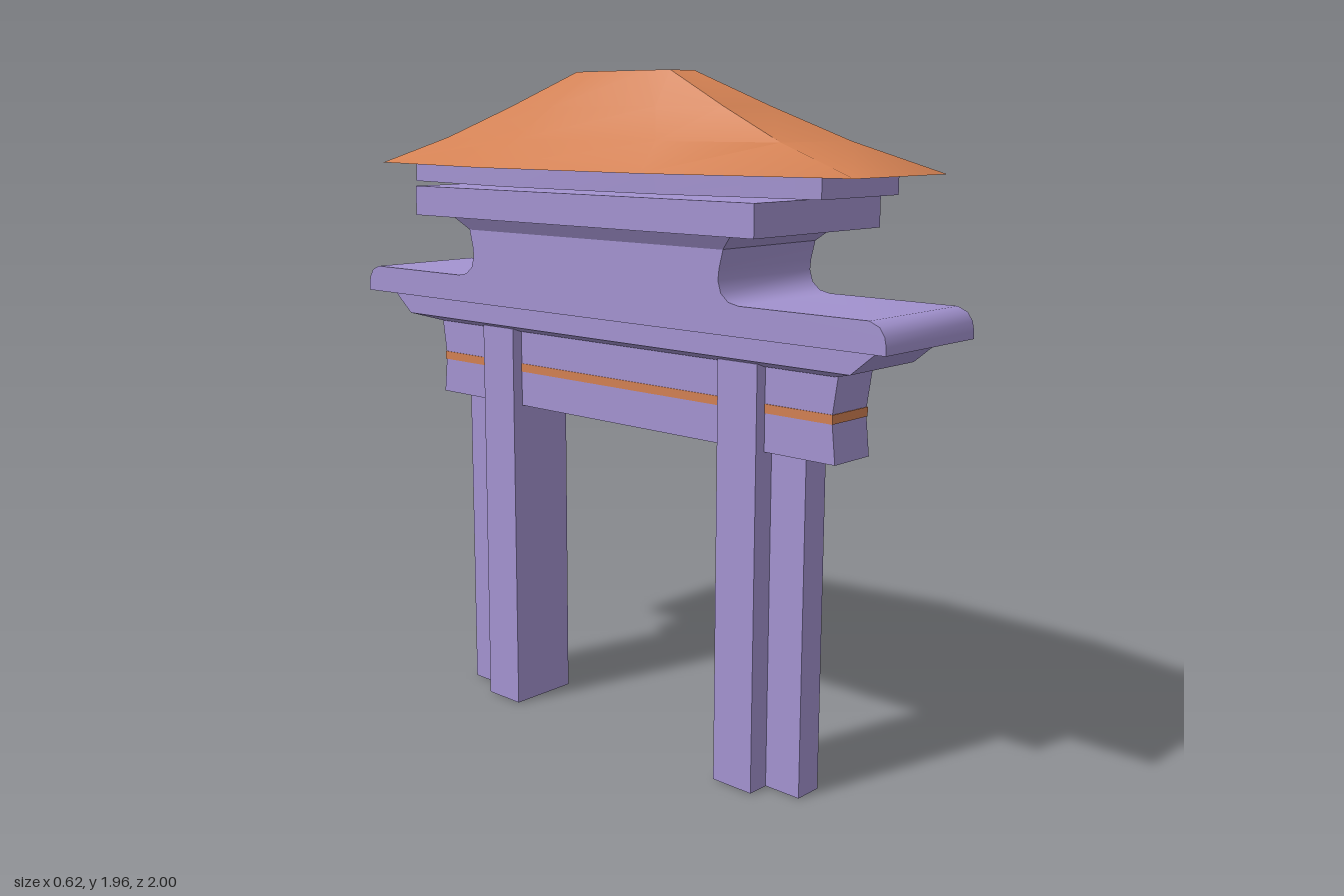
import * as THREE from 'three';
import { toCreasedNormals } from 'three/addons/utils/BufferGeometryUtils.js';

const purple = new THREE.MeshStandardMaterial({ color: 0xa393d0 });
const orange = new THREE.MeshStandardMaterial({ color: 0xd28052 });

// Plan outlines, counter-clockwise seen from above
const rect = (x, z) => [[x, z], [x, -z], [-x, -z], [-x, z]];
const octagon = (endX, endZ, sideX, sideZ) => [
  [endX, endZ], [sideX, sideZ], [sideX, -sideZ], [endX, -endZ],
  [-endX, -endZ], [-sideX, -sideZ], [-sideX, sideZ], [-endX, endZ],
];

// Closed solid through a stack of [height, outline] rings
function loft(rings, crease = 0.2) {
  const n = rings[0][1].length;
  const positions = [], index = [];
  for (const [y, outline] of rings) for (const [x, z] of outline) positions.push(x, y, z);
  for (let r = 0; r < rings.length - 1; r++) {
    for (let i = 0; i < n; i++) {
      const a = r * n + i, b = r * n + (i + 1) % n;
      index.push(a, b, b + n, a, b + n, a + n);
    }
  }
  const top = (rings.length - 1) * n;
  for (let i = 1; i < n - 1; i++) {
    index.push(0, i + 1, i);
    index.push(top, top + i, top + i + 1);
  }
  const g = new THREE.BufferGeometry();
  g.setAttribute('position', new THREE.Float32BufferAttribute(positions, 3));
  g.setIndex(index);
  return toCreasedNormals(g, crease);
}

export function createModel() {
  const model = new THREE.Group();
  model.name = 'gate';
  const add = (name, geometry, material = purple) => {
    const mesh = new THREE.Mesh(geometry, material);
    mesh.name = name;
    model.add(mesh);
  };
  const post = (name, halfX, z0, z1, height) => {
    const g = new THREE.BoxGeometry(halfX * 2, height, Math.abs(z1 - z0));
    add(name, g.translate(0, height / 2, (z0 + z1) / 2));
  };

  // Legs: a wide post with a narrow rib on the outer side
  post('frontPost', 0.11, 0.41, 0.545, 1.2);
  post('frontRib', 0.043, 0.545, 0.66, 1.0);
  post('backPost', 0.11, -0.405, -0.54, 1.2);
  post('backRib', 0.043, -0.54, -0.685, 1.0);

  // Tie beam with pinched ends and a coloured band
  add('tieBeam', loft([
    [0.96, rect(0.075, 0.775)], [1.08, rect(0.075, 0.762)], [1.2, rect(0.075, 0.78)],
  ], 0.05));
  add('beamBand', new THREE.BoxGeometry(0.154, 0.025, 1.532).translate(0, 1.078, 0), orange);

  // Tapered bracket under the lintel
  add('bracket', loft([
    [1.19, rect(0.08, 0.775)], [1.212, rect(0.14, 0.86)], [1.285, rect(0.14, 0.95)],
  ]));

  // Lintel with rounded ends sweeping up into the neck
  const half = [[1, 1.28], [1, 1.3], [0.995, 1.325], [0.98, 1.347], [0.95, 1.36],
    [0.55, 1.36], [0.515, 1.367], [0.49, 1.388], [0.48, 1.42], [0.483, 1.45], [0.497, 1.505]];
  const outline = [...half, ...half.map(([z, y]) => [-z, y]).reverse()];
  const profile = new THREE.Shape(outline.map(([z, y]) => new THREE.Vector2(z, y)));
  const lintel = new THREE.ExtrudeGeometry(profile, { depth: 0.39, bevelEnabled: false });
  lintel.translate(0, 0, -0.195).rotateY(-Math.PI / 2);
  add('lintel', toCreasedNormals(lintel, 0.6));
  add('neckFlare', loft([[1.5, rect(0.195, 0.495)], [1.542, rect(0.222, 0.545)]]));

  // Slab and the separate tier that carries the roof
  add('slab', loft([[1.54, rect(0.268, 0.655)], [1.627, rect(0.268, 0.655)]]));
  add('roofTier', loft([
    [1.635, octagon(0.165, 0.78, 0.24, 0.3)], [1.692, octagon(0.165, 0.78, 0.24, 0.3)],
  ]));

  // Flared roof with a narrow flat crown
  add('roof', loft([
    [1.69, octagon(0.2, 0.9, 0.31, 0.31)],
    [1.77, octagon(0.15, 0.64, 0.205, 0.27)],
    [1.86, octagon(0.1, 0.41, 0.13, 0.2)],
    [1.957, octagon(0.05, 0.18, 0.06, 0.1)],
  ], 0.7), orange);

  return model;
}
